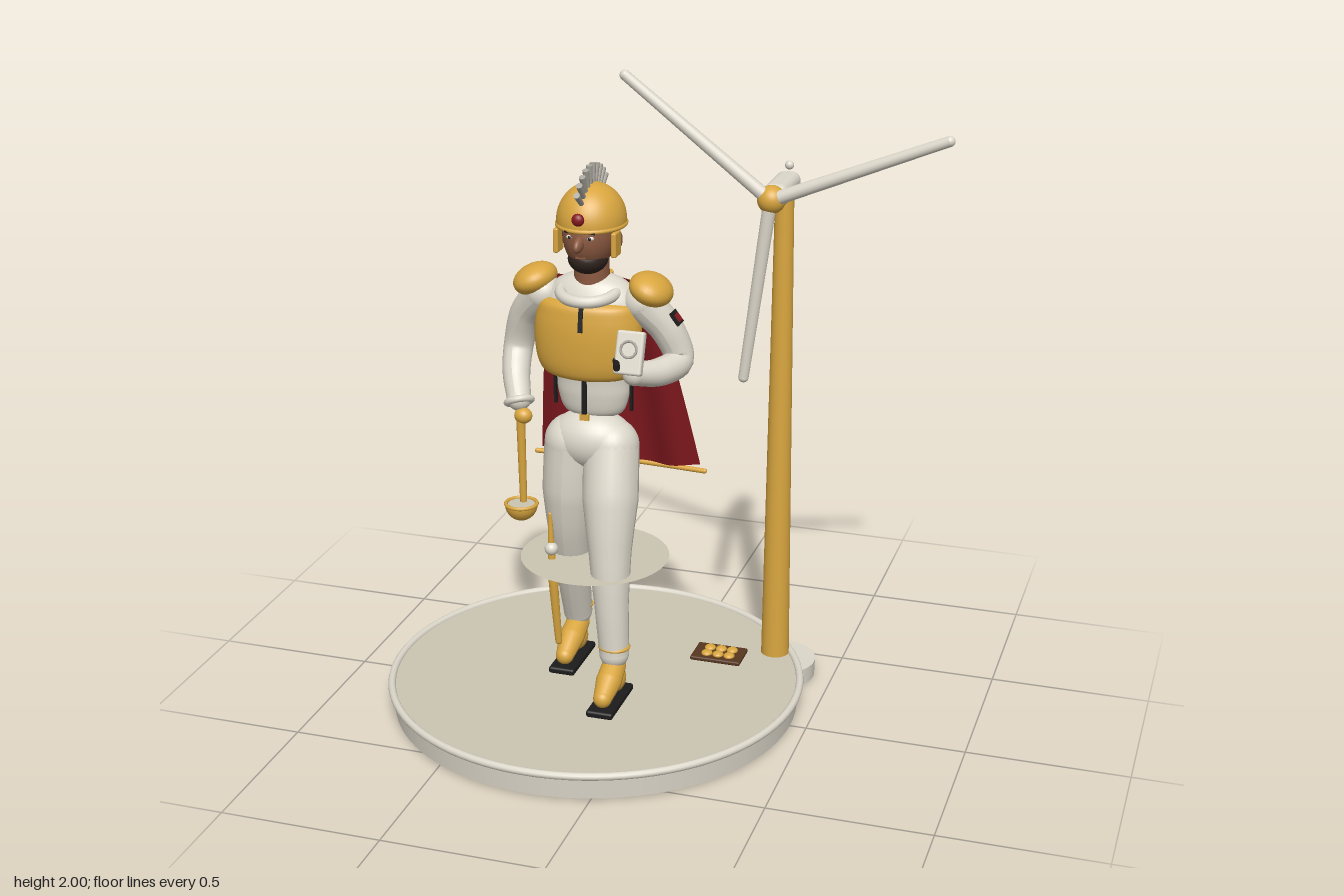
import * as THREE from 'three';
import { RoundedBoxGeometry } from 'three/addons/geometries/RoundedBoxGeometry.js';

const mat = (name, color, side = THREE.FrontSide) => {
  const m = new THREE.MeshStandardMaterial({ color, side });
  m.name = name;
  return m;
};
const V = (p) => new THREE.Vector3(...p);

export function createModel() {
  const ivory = mat('ivory', 0xdcd7ca), sand = mat('sand', 0xcbc4b1, THREE.DoubleSide);
  const gold = mat('gold', 0xd9a63f), red = mat('crimson', 0x861a20, THREE.DoubleSide);
  const skin = mat('skin', 0x8c5a41), black = mat('black', 0x1d1c1c);
  const brown = mat('brown', 0x56361f), grey = mat('grey', 0xaaa69d), beardMat = mat('beard', 0x30231e);
  const root = new THREE.Group();
  const CX = -0.19; // figure and base axis

  const add = (name, geo, m, p = [0, 0, 0], r = [0, 0, 0], s = [1, 1, 1]) => {
    const mesh = new THREE.Mesh(geo, m);
    mesh.name = name;
    mesh.position.set(...p);
    mesh.rotation.set(...r);
    mesh.scale.set(...s);
    root.add(mesh);
    return mesh;
  };
  const ball = (name, m, p, s, r) => add(name, new THREE.SphereGeometry(1, 28, 18), m, p, r, s);
  const box = (name, m, p, s, r, radius = 0) => add(name,
    radius ? new RoundedBoxGeometry(...s, 3, radius) : new THREE.BoxGeometry(...s), m, p, r);
  // Straight tapered rod between two points
  const rod = (name, m, a, b, ra, rb = ra, sides = 16) => {
    const A = V(a), B = V(b), d = B.clone().sub(A);
    const mesh = add(name, new THREE.CylinderGeometry(rb, ra, d.length(), sides), m,
      A.clone().add(B).multiplyScalar(0.5).toArray());
    mesh.quaternion.setFromUnitVectors(new THREE.Vector3(0, 1, 0), d.normalize());
    return mesh;
  };
  // Curved limb whose radius varies evenly along its control radii
  const limb = (name, m, pts, radii) => {
    const n = 28, k = 20, curve = new THREE.CatmullRomCurve3(pts.map(V));
    const geo = new THREE.TubeGeometry(curve, n, 1, k), pos = geo.attributes.position;
    const v = new THREE.Vector3();
    for (let i = 0; i <= n; i++) {
      const c = curve.getPointAt(i / n), t = (i / n) * (radii.length - 1);
      const j = Math.min(Math.floor(t), radii.length - 2);
      const r = THREE.MathUtils.lerp(radii[j], radii[j + 1], t - j);
      for (let q = i * (k + 1); q < (i + 1) * (k + 1); q++) {
        v.fromBufferAttribute(pos, q).sub(c).multiplyScalar(r).add(c);
        pos.setXYZ(q, v.x, v.y, v.z);
      }
    }
    geo.computeVertexNormals();
    add(name, geo, m);
    for (const e of [0, pts.length - 1]) {
      const r = radii[e ? radii.length - 1 : 0];
      ball(name + 'End', m, pts[e], [r, r, r]);
    }
  };
  // Lathe profile flattened in depth
  const body = (name, m, profile, depth, p) => add(name,
    new THREE.LatheGeometry(new THREE.SplineCurve(profile.map((q) => new THREE.Vector2(...q))).getPoints(32), 40),
    m, p, [0, 0, 0], [1, 1, depth]);

  // Round base with raised rim and side lug
  add('basePlinth', new THREE.CylinderGeometry(0.645, 0.64, 0.072, 96), ivory, [CX, 0.041, 0]);
  add('baseFloor', new THREE.CylinderGeometry(0.645, 0.645, 0.008, 96), sand, [CX, 0.08, 0]);
  add('baseRim', new THREE.TorusGeometry(0.648, 0.012, 12, 96), ivory, [CX, 0.083, 0], [Math.PI / 2, 0, 0]);
  add('baseUnderside', new THREE.CylinderGeometry(0.635, 0.63, 0.005, 96), sand, [CX, 0.0025, 0]);
  add('baseLug', new THREE.CylinderGeometry(0.117, 0.115, 0.055, 40), ivory, [0.325, 0.029, -0.34]);
  // Floating ring plate at knee height
  add('kneeDisc', new THREE.CircleGeometry(0.232, 64), sand, [CX, 0.5, 0], [-Math.PI / 2, 0, 0]);

  // Wind turbine
  const TX = 0.315, TY = 1.645;
  rod('tower', gold, [TX, 0.08, -0.32], [TX, 1.62, -0.32], 0.045, 0.029, 32);
  add('nacelle', new RoundedBoxGeometry(0.075, 0.07, 0.2, 4, 0.026), ivory, [TX, TY, -0.285]);
  ball('nacelleBeacon', ivory, [TX, 1.697, -0.372], [0.014, 0.014, 0.014]);
  ball('rotorHub', gold, [TX, TY, -0.16], [0.043, 0.043, 0.043]);
  for (const deg of [22.5, 142.5, 262.5]) {
    const a = THREE.MathUtils.degToRad(deg), c = Math.cos(a), s = Math.sin(a);
    rod('rotorBlade', ivory, [TX + c * 0.03, TY + s * 0.03, -0.148],
      [TX + c * 0.565, TY + s * 0.565, -0.148], 0.021, 0.016);
    ball('bladeTip', ivory, [TX + c * 0.565, TY + s * 0.565, -0.148], [0.016, 0.016, 0.016]);
  }

  // Tray with six gold cakes
  box('tray', brown, [0.15, 0.09, -0.235], [0.165, 0.014, 0.11], [0, 0, 0], 0.005);
  for (let i = 0; i < 6; i++) {
    ball('trayCake', gold, [0.115 + (i % 3) * 0.037, 0.099, -0.255 + Math.floor(i / 3) * 0.04], [0.018, 0.01, 0.019]);
  }

  // Legs and shoes, the left one striding forward
  const leg = (name, x0, x1, path, footZ) => {
    limb(name, ivory, path.map(([y, z], i) => [THREE.MathUtils.lerp(x0, x1, i / 4), y, z]),
      [0.086, 0.086, 0.066, 0.053, 0.046]);
    const z = path[4][1];
    ball('ankleRing', gold, [x1, 0.265, z], [0.051, 0.014, 0.047]);
    limb('shoe', gold, [[x1, 0.2, z], [x1, 0.165, footZ + 0.02], [x1, 0.14, footZ + 0.07]], [0.037, 0.04, 0.029]);
    ball('shoeHeel', gold, [x1, 0.155, footZ - 0.045], [0.036, 0.045, 0.045]);
    box('shoeSole', black, [x1, 0.1, footZ], [0.085, 0.022, 0.22], [0, 0, 0], 0.008);
  };
  leg('leftLeg', -0.128, -0.082, [[0.88, 0.015], [0.74, 0.062], [0.58, 0.105], [0.42, 0.13], [0.24, 0.14]], 0.185);
  leg('rightLeg', -0.256, -0.29, [[0.88, 0.01], [0.74, 0.01], [0.58, -0.005], [0.42, -0.05], [0.24, -0.115]], -0.055);
  ball('hips', ivory, [CX, 0.895, 0.012], [0.135, 0.095, 0.092]);

  // Torso, breastplate and straps
  body('torso', ivory, [[0.001, 0.97], [0.085, 0.98], [0.112, 1.04], [0.118, 1.1], [0.14, 1.2],
    [0.158, 1.32], [0.115, 1.39], [0.055, 1.42]], 0.58, [CX, 0, -0.005]);
  body('breastplate', gold, [[0.001, 1.1], [0.115, 1.105], [0.155, 1.14], [0.168, 1.22],
    [0.16, 1.3], [0.13, 1.345], [0.001, 1.352]], 0.56, [-0.197, 0, 0.022]);
  box('chestClasp', black, [CX, 1.305, 0.109], [0.014, 0.075, 0.009], [-0.18, 0, 0]);
  box('beltStrap', black, [CX, 1.055, 0.085], [0.014, 0.11, 0.009]);
  box('beltBuckle', gold, [CX, 0.99, 0.085], [0.028, 0.02, 0.009]);
  for (const s of [-1, 1]) box('sideStrap', black, [CX + s * 0.122, 1.055, 0], [0.008, 0.12, 0.014]);
  add('collar', new THREE.TorusGeometry(0.085, 0.018, 14, 40), ivory, [CX, 1.375, 0.03], [Math.PI / 2 + 0.15, 0, 0]);

  // Arms with shoulder guards
  limb('rightArm', ivory, [[-0.345, 1.345, 0], [-0.415, 1.26, -0.035], [-0.447, 1.15, -0.045],
    [-0.435, 1.08, 0.01], [-0.405, 1.02, 0.07]], [0.058, 0.052, 0.047, 0.043, 0.037]);
  limb('leftArm', ivory, [[-0.035, 1.345, 0], [0.035, 1.26, -0.025], [0.072, 1.165, -0.03],
    [0.04, 1.15, 0.055], [-0.015, 1.165, 0.135]], [0.058, 0.052, 0.046, 0.043, 0.036]);
  add('rightCuff', new THREE.TorusGeometry(0.037, 0.011, 10, 28), ivory, [-0.403, 1.015, 0.075], [1.1, 0.3, 0]);
  for (const s of [-1, 1]) {
    ball('shoulderGuard', gold, [CX + s * 0.183, 1.385, -0.005], [0.068, 0.046, 0.08], [0, 0, -s * 0.4]);
  }
  box('armPatch', black, [0.068, 1.3, -0.015], [0.009, 0.045, 0.045], [0, 0, 0.65]);
  box('armPatchMark', red, [0.074, 1.302, -0.015], [0.005, 0.025, 0.028], [0, 0, 0.65]);

  // Hand-held panel
  box('handPanel', ivory, [-0.018, 1.24, 0.167], [0.085, 0.13, 0.03], [-0.35, 0, 0], 0.008);
  add('panelDial', new THREE.TorusGeometry(0.024, 0.004, 8, 28), grey, [-0.018, 1.255, 0.18], [-0.35, 0, 0]);
  ball('leftHand', skin, [-0.04, 1.19, 0.15], [0.025, 0.025, 0.025]);
  rod('panelHandle', black, [-0.06, 1.215, 0.17], [-0.04, 1.21, 0.225], 0.01);

  // Ladle in the right hand
  ball('rightHand', gold, [-0.385, 0.975, 0.09], [0.028, 0.025, 0.025]);
  rod('ladleHandle', gold, [-0.392, 0.985, 0.095], [-0.392, 0.69, 0.085], 0.014, 0.011);
  const bowl = add('ladleBowl', new THREE.SphereGeometry(0.051, 28, 12, 0, Math.PI * 2, Math.PI / 2, Math.PI / 2),
    gold, [-0.392, 0.69, 0.105]);
  bowl.scale.y = 1.05;
  add('ladleRim', new THREE.TorusGeometry(0.048, 0.006, 8, 28), gold, [-0.392, 0.69, 0.105], [Math.PI / 2, 0, 0]);
  add('ladleFill', new THREE.CircleGeometry(0.046, 28), sand, [-0.392, 0.689, 0.105], [-Math.PI / 2, 0, 0]);

  // Scabbard at the right thigh
  limb('scabbard', gold, [[-0.312, 0.65, 0.07], [-0.308, 0.45, 0.065], [-0.302, 0.2, 0.037]], [0.006, 0.015, 0.011]);
  ball('scabbardKnob', ivory, [-0.308, 0.535, 0.073], [0.021, 0.021, 0.021]);

  // Head, beard and face
  rod('neck', skin, [CX, 1.36, 0], [CX, 1.5, 0.005], 0.055, 0.052, 28);
  ball('head', skin, [CX, 1.55, 0.015], [0.08, 0.11, 0.102]);
  ball('beard', beardMat, [CX, 1.478, 0.035], [0.06, 0.048, 0.066]);
  box('mouth', skin, [CX, 1.495, 0.099], [0.03, 0.007, 0.009]);
  ball('nose', skin, [CX, 1.54, 0.118], [0.015, 0.022, 0.034], [0.35, 0, 0]);
  for (const s of [-1, 1]) {
    ball('eye', ivory, [CX + s * 0.031, 1.557, 0.104], [0.012, 0.007, 0.008]);
    ball('pupil', black, [CX + s * 0.031, 1.557, 0.11], [0.005, 0.005, 0.004]);
    box('brow', black, [CX + s * 0.032, 1.574, 0.108], [0.03, 0.006, 0.009], [0, s * 0.3, -s * 0.1]);
    ball('ear', skin, [CX + s * 0.082, 1.53, 0], [0.013, 0.028, 0.018]);
    box('cheekGuard', gold, [CX + s * 0.09, 1.53, 0.045], [0.016, 0.075, 0.052], [0, 0, 0], 0.005);
  }

  // Helmet with jewel and fan crest
  add('helmet', new THREE.SphereGeometry(1, 40, 20, 0, Math.PI * 2, 0, Math.PI * 0.54), gold,
    [CX, 1.585, 0], [0, 0, 0], [0.104, 0.113, 0.115]);
  add('helmetBrim', new THREE.TorusGeometry(0.104, 0.007, 10, 40), gold,
    [CX, 1.576, 0], [Math.PI / 2, 0, 0], [0.97, 1.08, 1]);
  ball('helmetJewel', red, [CX, 1.615, 0.122], [0.019, 0.019, 0.015]);
  for (let i = 0; i < 10; i++) {
    const a = THREE.MathUtils.degToRad(39 + i * 11.3), c = Math.cos(a), s = Math.sin(a);
    rod('crestBristle', grey, [CX, 1.585 + s * 0.108, c * 0.11], [CX, 1.585 + s * 0.168, c * 0.168], 0.008, 0.01, 10);
  }

  // Cape with hem bar
  const cape = new THREE.PlaneGeometry(1, 1, 48, 24), cp = cape.attributes.position;
  for (let i = 0; i < cp.count; i++) {
    const u = cp.getX(i), v = 0.5 - cp.getY(i);
    const fold = Math.cos(u * 17) * 0.017 * (0.35 + 0.65 * v) + u * u * 0.1 * (1 - v);
    cp.setXYZ(i, CX + u * (0.29 + 0.24 * Math.pow(v, 0.7)), 1.385 - 0.655 * v + Math.cos(u * 14) * 0.006 * v, -0.088 - 0.16 * v + fold);
  }
  cape.computeVertexNormals();
  add('cape', cape, red);
  limb('capeHemBar', gold, [[-0.475, 0.716, -0.262], [CX, 0.714, -0.28], [0.09, 0.716, -0.255]], [0.008, 0.009, 0.008]);

  // Back pack with pipe and aerial
  box('backPack', ivory, [CX, 1.205, -0.172], [0.2, 0.225, 0.055], [0.14, 0, 0], 0.014);
  box('packVent', grey, [CX, 1.225, -0.202], [0.11, 0.006, 0.006], [0.14, 0, 0]);
  rod('packPipe', gold, [CX, 1.3, -0.15], [CX, 1.385, -0.135], 0.02);
  rod('packAerial', grey, [CX, 1.38, -0.135], [CX, 1.58, -0.135], 0.006);
  rod('packTail', gold, [CX, 1.09, -0.17], [CX, 0.945, -0.13], 0.014);

  return root;
}
